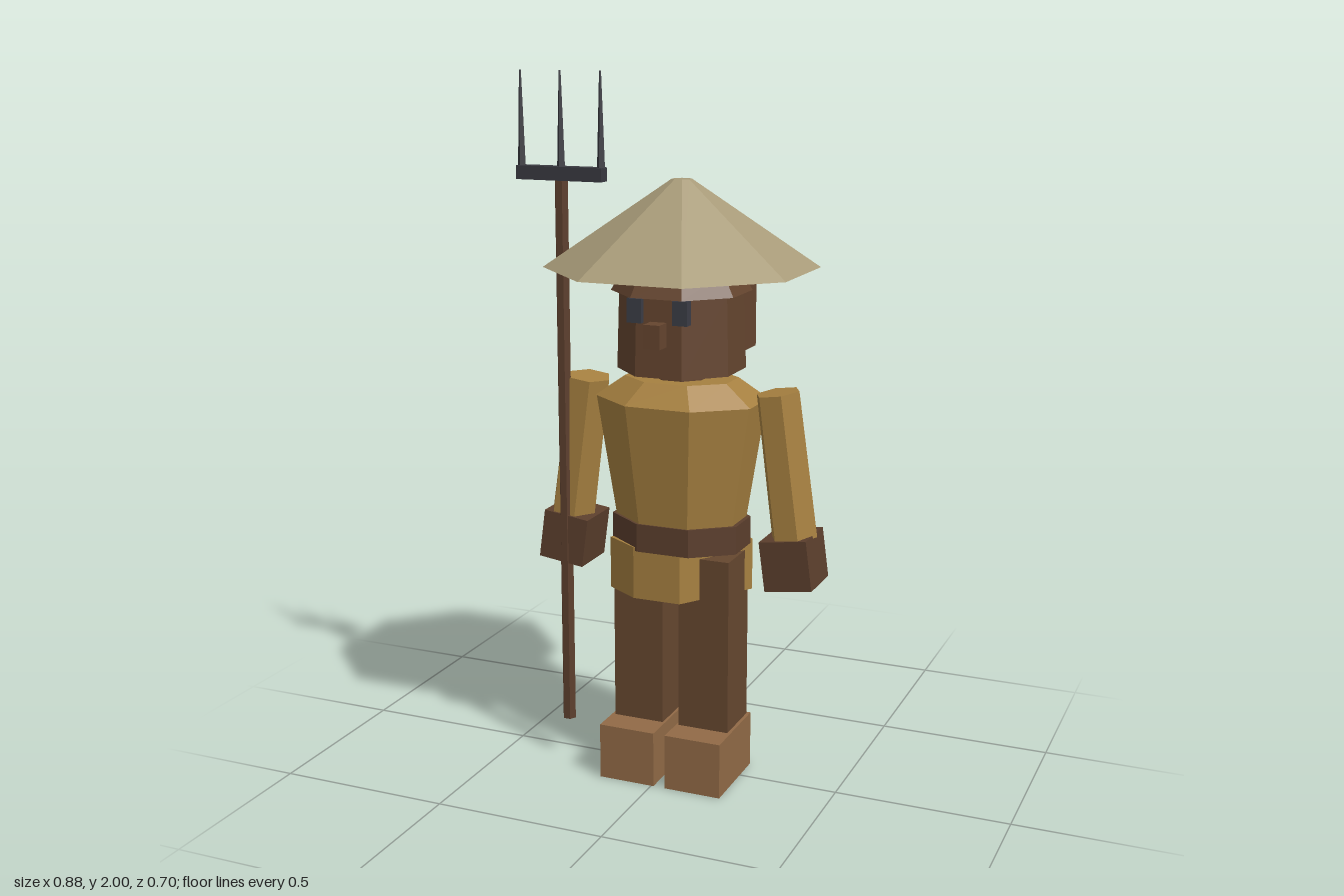
import * as THREE from 'three';

const mat = (name, color) => {
  const m = new THREE.MeshStandardMaterial({ color, flatShading: true });
  m.name = name;
  return m;
};

export function createModel() {
  const straw = mat('straw', 0xa89b79);
  const tunic = mat('ochre cloth', 0xa68040);
  const skin = mat('brown skin', 0x65452f);
  const cloth = mat('brown cloth', 0x65472f);
  const leather = mat('dark leather', 0x5c3f2d);
  const shoe = mat('shoe leather', 0x916a46);
  const iron = mat('dark iron', 0x393940);
  const eyeColor = mat('eye slate', 0x3b3d46);

  const model = new THREE.Group();
  model.name = 'farmer';
  const body = new THREE.Group();
  body.name = 'body';
  body.position.x = 0.025;
  model.add(body);

  const add = (parent, name, geo, material, x = 0, y = 0, z = 0) => {
    const mesh = new THREE.Mesh(geo, material);
    mesh.name = name;
    mesh.position.set(x, y, z);
    parent.add(mesh);
    return mesh;
  };
  const box = (parent, name, material, w, h, d, x, y, z) =>
    add(parent, name, new THREE.BoxGeometry(w, h, d), material, x, y, z);

  // eight-sided frustum with flat sides facing the axes; a = half depth
  const octagon = (name, material, aTop, aBottom, y0, y1, sx = 1, sz = 1) => {
    const k = 1 / Math.cos(Math.PI / 8);
    const geo = new THREE.CylinderGeometry(aTop * k, aBottom * k, y1 - y0, 8, 1, false, Math.PI / 8);
    geo.scale(sx, 1, sz);
    return add(body, name, geo, material, 0, (y0 + y1) / 2);
  };

  // hat, hair and head
  octagon('hat', straw, 0.026, 0.352, 1.475, 1.715);
  octagon('hair', skin, 0.147, 0.18, 1.412, 1.474);
  octagon('head', skin, 0.159, 0.165, 1.195, 1.412);
  octagon('neck', skin, 0.072, 0.072, 1.15, 1.2);
  box(body, 'hairBun', skin, 0.29, 0.2, 0.15, 0, 1.333, -0.125);
  box(body, 'nose', skin, 0.047, 0.066, 0.06, 0, 1.315, 0.18);

  // torso, belt and the twisted hem of the tunic
  octagon('shoulders', tunic, 0.115, 0.175, 1.112, 1.17, 1.32);
  octagon('torso', tunic, 0.175, 0.132, 0.74, 1.112, 1.3);
  octagon('belt', leather, 0.14, 0.14, 0.69, 0.77, 1.34);
  const hem = new THREE.Shape([
    [0.05, -0.135], [0.19, 0.07], [0.09, 0.135],
    [-0.05, 0.135], [-0.19, -0.07], [-0.09, -0.135],
  ].map(([x, y]) => new THREE.Vector2(x, y)));
  const hemGeo = new THREE.ExtrudeGeometry(hem, { depth: 0.15, bevelEnabled: false });
  hemGeo.rotateX(-Math.PI / 2);
  add(body, 'tunicHem', hemGeo, tunic, 0, 0.55, 0);

  // mirrored parts
  for (const [side, s] of [['left', 1], ['right', -1]]) {
    box(body, side + 'Eye', eyeColor, 0.043, 0.066, 0.03, s * 0.066, 1.377, 0.16);
    box(body, side + 'Leg', cloth, 0.15, 0.53, 0.155, s * 0.1, 0.405, 0.002);
    box(body, side + 'Shoe', shoe, 0.167, 0.162, 0.25, s * 0.101, 0.081, 0.04);

    const arm = new THREE.Group();
    arm.name = side + 'Arm';
    arm.position.set(s * 0.284, 1.148, 0);
    arm.rotation.z = s * 0.135;
    body.add(arm);
    const sleeve = new THREE.CylinderGeometry(0.062, 0.066, 0.41, 6, 1, false, Math.PI / 2);
    sleeve.scale(1, 1, 1.2);
    add(arm, side + 'Sleeve', sleeve, tunic, 0, -0.205, 0);
    box(arm, side + 'Hand', leather, 0.137, 0.142, 0.15, s * -0.01, -0.473, 0);
  }

  // pitchfork
  const fork = new THREE.Group();
  fork.name = 'pitchfork';
  fork.position.set(-0.309, 0, 0.06);
  model.add(fork);
  add(fork, 'shaft', new THREE.CylinderGeometry(0.02, 0.02, 1.59, 6, 1, false, Math.PI / 2), leather, 0, 0.915, 0);
  box(fork, 'crossbar', iron, 0.26, 0.038, 0.038, 0, 1.723, 0);
  for (const x of [-0.121, 0, 0.121])
    add(fork, 'tine', new THREE.CylinderGeometry(0.003, 0.012, 0.26, 4), iron, x, 1.87, 0);

  return model;
}
